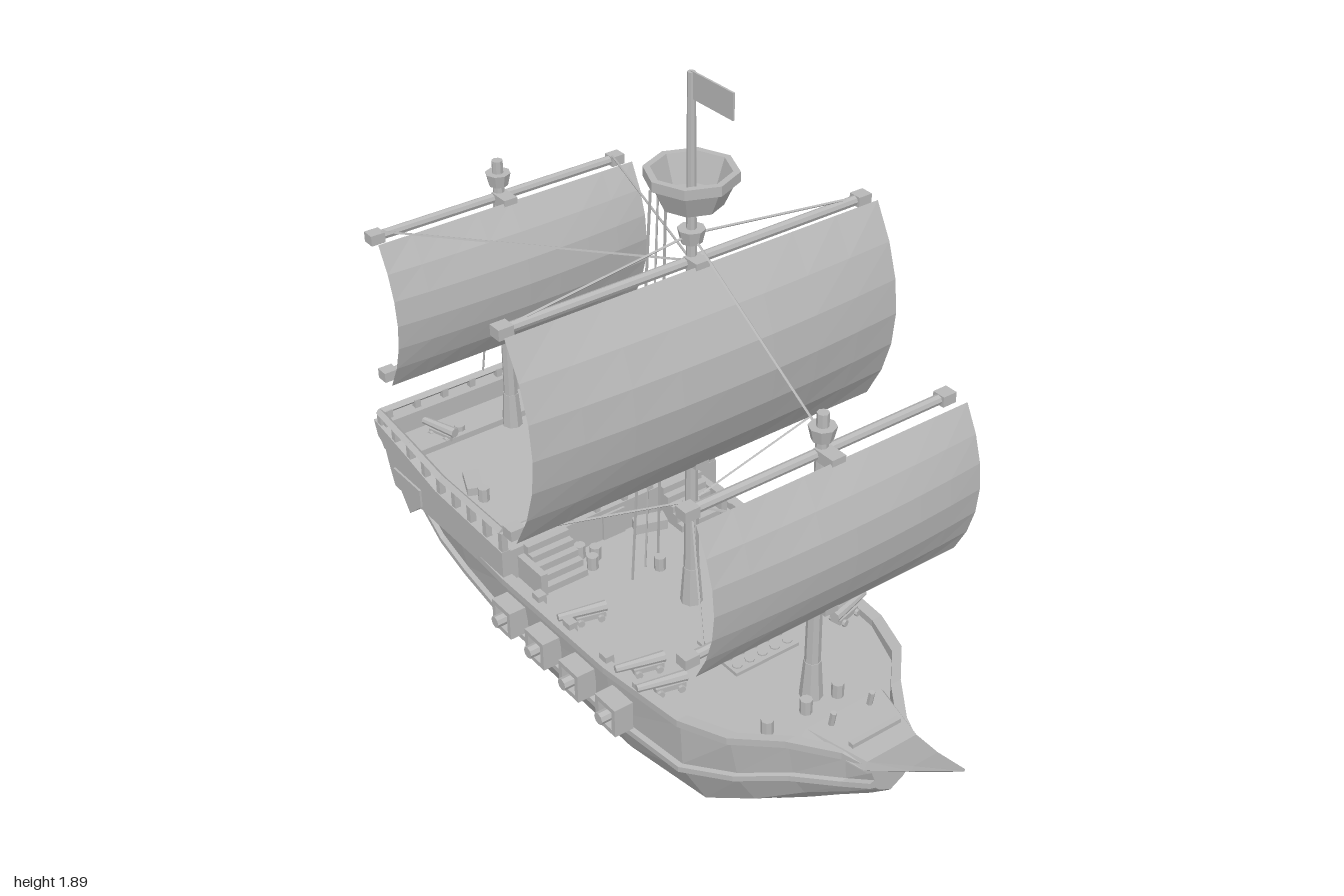
import * as THREE from 'three';

const grey = new THREE.MeshStandardMaterial({ color: 0xb8b8b8, side: THREE.DoubleSide });
grey.name = 'plain grey';

// adds a faceted mesh
function add(parent, name, geo, x = 0, y = 0, z = 0) {
  const g = geo.index ? geo.toNonIndexed() : geo;
  g.computeVertexNormals();
  const m = new THREE.Mesh(g, grey);
  m.name = name;
  m.position.set(x, y, z);
  parent.add(m);
  return m;
}
const box = (p, n, w, h, d, x, y, z) => add(p, n, new THREE.BoxGeometry(w, h, d), x, y, z);
const cyl = (p, n, rt, rb, y0, y1, x, z, s = 8) =>
  add(p, n, new THREE.CylinderGeometry(rt, rb, y1 - y0, s), x, (y0 + y1) / 2, z);

// straight bar between two points
function bar(p, name, a, b, r, sides = 4) {
  const A = new THREE.Vector3(...a), B = new THREE.Vector3(...b);
  const m = add(p, name, new THREE.CylinderGeometry(r, r, A.distanceTo(B), sides));
  m.position.copy(A).lerp(B, 0.5);
  m.quaternion.setFromUnitVectors(new THREE.Vector3(0, 1, 0), B.sub(A).normalize());
  return m;
}

// skin over closed rings of points, capped at both ends
function loft(rings) {
  const n = rings[0].length, idx = [];
  for (let i = 0; i < rings.length - 1; i++)
    for (let j = 0; j < n; j++) {
      const k = (j + 1) % n, a = i * n, b = a + n;
      idx.push(a + j, b + j, b + k, a + j, b + k, a + k);
    }
  const e = (rings.length - 1) * n;
  // caps join mirrored points across the centre line
  for (let j = 1; j < n / 2; j++) {
    const q = [j - 1 ? n - j + 1 : 0, j - 1, j, n - j];
    idx.push(q[0], q[1], q[2], q[0], q[2], q[3]);
    idx.push(e + q[0], e + q[2], e + q[1], e + q[0], e + q[3], e + q[2]);
  }
  const g = new THREE.BufferGeometry();
  g.setAttribute('position', new THREE.Float32BufferAttribute(rings.flat(2), 3));
  g.setIndex(idx);
  return g;
}
const ring = (half, z) => {
  const r = half.map(([x, y, dz = 0]) => [x, y, z + dz]);
  return [...r, ...r.slice(1).reverse().map(([x, y, w]) => [-x, y, w])];
};

// side profile of (z, y) points given a width in x
function slab(p, name, pts, x0, x1) {
  const g = new THREE.ExtrudeGeometry(new THREE.Shape(pts.map(q => new THREE.Vector2(...q))),
    { depth: x1 - x0, bevelEnabled: false });
  g.rotateY(-Math.PI / 2);
  return add(p, name, g, x1, 0, 0);
}

// deck gun pointing along its own +x
function cannon(p, x, y, z, turn) {
  const g = new THREE.Group();
  g.name = 'deckCannon';
  g.position.set(x, y, z);
  g.rotation.y = turn;
  p.add(g);
  const b = add(g, 'barrel', new THREE.CylinderGeometry(0.01, 0.015, 0.13, 8), 0.01, 0.032, 0);
  b.rotation.z = -Math.PI / 2;
  box(g, 'carriage', 0.08, 0.015, 0.03, -0.01, 0.016, 0);
  for (const wx of [-0.035, 0.02]) for (const wz of [-0.02, 0.02]) {
    const w = add(g, 'wheel', new THREE.CylinderGeometry(0.01, 0.01, 0.008, 8), wx, 0.01, wz);
    w.rotation.x = Math.PI / 2;
  }
}

// bellied sail with an upper and a lower yard
function sail(p, name, w, y0, y1, zMast, zEdge, depth) {
  const g = new THREE.PlaneGeometry(2 * w, y1 - y0, 8, 6), a = g.attributes.position;
  for (let i = 0; i < a.count; i++) {
    const u = a.getX(i) / w, v = a.getY(i) / ((y1 - y0) / 2);
    a.setZ(i, depth * (1 - v * v) * (1 - 0.22 * u * u));
  }
  add(p, name, g, 0, (y0 + y1) / 2, zEdge);
  for (const y of [y0 + 0.005, y1 - 0.005]) {
    bar(p, 'yard', [-w, y, zMast], [w, y, zMast], 0.013, 8);
    for (const s of [-1, 1]) box(p, 'yardEnd', 0.04, 0.028, 0.036, s * (w - 0.02), y, zMast);
    box(p, 'yardSling', 0.04, 0.03, zEdge - zMast + 0.01, 0, y, (zMast + zEdge) / 2);
  }
}

export function createModel() {
  const ship = new THREE.Group();
  ship.name = 'sailingShip';

  // hull: z, sheer half width, wale half width, keel y, wale y, sheer y, fullness
  const stations = [
    [0.775, 0.065, 0.05, 0.34, 0.385, 0.455, 0.8], [0.71, 0.09, 0.08, 0.28, 0.36, 0.465, 0.8],
    [0.6, 0.17, 0.15, 0.19, 0.335, 0.465, 0.8], [0.5, 0.265, 0.24, 0.105, 0.31, 0.455, 0.85],
    [0.37, 0.315, 0.305, 0, 0.28, 0.445, 0.85], [0.1, 0.34, 0.325, 0, 0.27, 0.44, 1],
    [-0.35, 0.345, 0.325, 0, 0.27, 0.44, 1], [-0.6, 0.335, 0.31, 0, 0.29, 0.44, 0.75],
    [-0.735, 0.325, 0.3, 0, 0.31, 0.44, 0.4], [-0.74, 0.325, 0.3, 0.11, 0.312, 0.44, 0.5],
    [-0.87, 0.315, 0.28, 0.325, 0.345, 0.44, 1]];
  add(ship, 'hull', loft(stations.map(([z, w, ww, yk, yw, ys, f]) => {
    const h = yw - yk, deck = Math.min(0.425, ys - 0.02);
    return ring([[0, yk], [0.2 * ww * f, yk + 0.13 * h], [0.5 * ww * f, yk + 0.28 * h],
      [0.84 * ww * Math.sqrt(f), yk + 0.5 * h], [ww, yw - 0.01], [ww + 0.017, yw - 0.004], [ww + 0.017, yw + 0.012],
      [ww + 0.004, yw + 0.016], [w, ys - 0.025], [w + 0.012, ys - 0.02], [w + 0.012, ys], [w - 0.02, ys], [w - 0.02, deck]], z);
  })));

  // pointed beak ahead of the bow
  const beak = [[0.6, 0.13, 0.42, 0.47], [0.77, 0.085, 0.40, 0.468], [0.88, 0.042, 0.475, 0.515], [1, 0.003, 0.567, 0.573]];
  add(ship, 'beak', loft(beak.map(([z, w, a, b]) => ring([[0, a], [w, (a + 2 * b) / 3], [w * 0.9, b], [0, b + 0.004]].slice(0, 3), z))));
  box(ship, 'bowBeam', 0.15, 0.012, 0.015, 0, 0.475, 0.71);
  for (const s of [-1, 1]) bar(ship, 'bowPost', [s * 0.06, 0.45, 0.62], [s * 0.06, 0.51, 0.63], 0.008, 6);

  // sterncastle body, stepped transom bands and raised sides
  slab(ship, 'sterncastle', [[-0.35, 0.42], [-0.35, 0.515], [-0.97, 0.53], [-0.95, 0.5], [-0.93, 0.47], [-0.915, 0.4],
    [-0.87, 0.34], [-0.8, 0.4]], -0.335, 0.335);
  slab(ship, 'transomBand', [[-0.85, 0.445], [-0.92, 0.445], [-0.93, 0.47], [-0.85, 0.47]], -0.347, 0.347);
  slab(ship, 'transomBand', [[-0.85, 0.515], [-0.965, 0.515], [-0.985, 0.545], [-0.85, 0.545]], -0.347, 0.347);
  slab(ship, 'sternWall', [[-0.955, 0.52], [-0.955, 0.6], [-1, 0.6], [-0.98, 0.545], [-0.97, 0.52]], -0.34, 0.34);
  const railTop = z => z > -0.66 ? 0.578 : z > -0.82 ? 0.578 + (-0.66 - z) * 0.15 : 0.602 + (-0.82 - z) * 0.13;
  for (const s of [-1, 1]) {
    const a = Math.min(s * 0.325, s * 0.352), b = Math.max(s * 0.325, s * 0.352);
    slab(ship, 'sternSide', [[-0.35, 0.42], [-0.35, 0.52], [-0.68, 0.53], [-0.84, 0.565], [-1, 0.595], [-0.985, 0.55],
      [-0.95, 0.53], [-0.93, 0.47], [-0.91, 0.42]], a, b);
    box(ship, 'quarterPanel', 0.008, 0.055, 0.14, s * 0.354, 0.46, -0.83);
    // railing
    const stops = [-0.36, -0.51, -0.66, -0.82, -0.985];
    for (let i = 0; i < 4; i++)
      bar(ship, 'rail', [s * 0.34, railTop(stops[i]), stops[i]], [s * 0.34, railTop(stops[i + 1]), stops[i + 1]], 0.012);
    for (let i = 0; i < 9; i++) {
      const z = -0.36 - i * 0.077;
      box(ship, 'railPost', 0.018, 0.06, 0.018, s * 0.34, railTop(z) - 0.03, z);
    }
    // stairs to the upper deck
    for (let i = 0; i < 5; i++)
      box(ship, 'stair', 0.13, 0.02 * (5 - i), 0.021, s * 0.22, 0.42 + 0.01 * (5 - i), -0.34 + i * 0.021);
    box(ship, 'stairSide', 0.02, 0.07, 0.12, s * 0.295, 0.455, -0.3);
    // gun ports with frames and muzzles
    for (const z of [0.16, 0, -0.155, -0.31]) {
      for (const d of [-1, 1]) {
        box(ship, 'portFrame', 0.055, 0.014, 0.084, s * 0.362, 0.345 + d * 0.035, z);
        box(ship, 'portFrame', 0.055, 0.056, 0.014, s * 0.362, 0.345, z + d * 0.035);
      }
      bar(ship, 'portGun', [s * 0.32, 0.345, z], [s * 0.41, 0.345, z], 0.017, 8);
    }
    // bulwark blocks
    for (const z of [0.22, 0.08, -0.08, -0.22]) box(ship, 'bulwarkPost', 0.025, 0.035, 0.03, s * 0.325, 0.44, z);
  }
  bar(ship, 'sternRail', [-0.34, 0.622, -0.985], [0.34, 0.622, -0.985], 0.012);
  for (let i = 0; i < 8; i++) box(ship, 'railPost', 0.018, 0.05, 0.018, -0.315 + i * 0.09, 0.6, -0.98);
  box(ship, 'deckRail', 0.28, 0.012, 0.015, 0, 0.575, -0.36);
  for (const x of [-0.13, -0.045, 0.045, 0.13]) box(ship, 'railPost', 0.015, 0.06, 0.015, x, 0.545, -0.36);
  box(ship, 'cabinDoor', 0.07, 0.08, 0.008, 0, 0.462, -0.347);

  // masts: z, foot y, collar y, top y
  for (const [z, y0, yc, y1] of [[0.48, 0.43, 1.2, 1.25], [0, 0.42, 1.49, 1.89], [-0.84, 0.52, 1.3, 1.35]]) {
    cyl(ship, 'mastFoot', 0.022, 0.03, y0, y0 + 0.11, 0, z);
    cyl(ship, 'lowerMast', 0.019, 0.021, y0, y0 + 0.28, 0, z);
    cyl(ship, 'upperMast', z ? 0.015 : 0.01, 0.017, y0 + 0.28, y1, 0, z);
    cyl(ship, 'mastCollar', 0.034, 0.026, yc - 0.02, yc + 0.015, 0, z);
    cyl(ship, 'mastRing', 0.024, 0.024, y0 + 0.3, y0 + 0.315, 0, z);
  }

  // lookout basket and flag
  const nest = [[0, 1.57], [0.075, 1.57], [0.1, 1.625], [0.112, 1.63], [0.112, 1.655], [0.095, 1.655], [0.07, 1.585], [0, 1.585]];
  add(ship, 'lookoutBasket', new THREE.LatheGeometry(nest.map(q => new THREE.Vector2(...q)), 8));
  box(ship, 'flag', 0.005, 0.065, 0.15, 0, 1.86, 0.075);

  sail(ship, 'mainSail', 0.54, 0.87, 1.425, 0, 0.04, 0.115);
  sail(ship, 'foreSail', 0.395, 0.73, 1.15, 0.48, 0.535, 0.083);
  sail(ship, 'rearSail', 0.395, 0.83, 1.25, -0.84, -0.787, 0.082);

  // rigging
  const ropes = [[[0, 1.19, 0.48], [0, 1.49, 0]], [[0, 1.3, -0.85], [0, 0.61, -0.99]]];
  for (const s of [-1, 1]) ropes.push(
    [[0, 1.42, 0], [s * 0.36, 1.26, -0.83]], [[s * 0.33, 0.735, 0.48], [0, 0.72, 0]],
    [[s * 0.52, 1.425, 0], [0, 1.49, 0]], [[s * 0.52, 0.87, 0], [s * 0.02, 0.74, 0]]);
  for (let i = 0; i < 3; i++)
    ropes.push([[-0.05 + i * 0.03, 1.58, -0.09 - i * 0.01], [-0.08 + i * 0.06, 0.43, -0.15 - i * 0.025]]);
  for (const [a, b] of ropes) bar(ship, 'rope', a, b, 0.0035);

  // hatch grating
  box(ship, 'hatch', 0.2, 0.01, 0.16, 0, 0.43, 0.235);
  for (let i = 0; i < 5; i++) for (let j = 0; j < 4; j++)
    cyl(ship, 'hatchStud', 0.013, 0.013, 0.43, 0.439, -0.08 + i * 0.04, 0.178 + j * 0.038);

  // round well on the upper deck
  const well = [[0.055, 0.52], [0.055, 0.545], [0.078, 0.545], [0.078, 0.515]];
  add(ship, 'well', new THREE.LatheGeometry(well.map(q => new THREE.Vector2(...q)), 16), 0, 0, -0.48);

  // deck guns
  for (const [x, z] of [[-0.27, -0.09], [-0.27, 0.16], [-0.27, 0.25], [0.26, -0.09], [0.24, 0.16], [0.27, 0.3]])
    cannon(ship, x, 0.425, z, x > 0 ? 0.25 : Math.PI - 0.25);
  for (const x of [-0.2, 0.21]) cannon(ship, x, 0.53, -0.9, Math.PI / 2 + Math.sign(x) * -0.3);

  // crates and barrels
  for (const [x, y, z, t] of [[-0.25, 0.53, -0.65, 0.4], [0.12, 0.53, -0.41, 1.4], [0.1, 0.435, -0.32, 1.9]])
    box(ship, 'crate', 0.045, 0.03, 0.09, x, y, z).rotation.y = -t;
  for (const [x, y, z] of [[-0.26, 0.52, -0.58], [-0.14, 0.52, -0.4], [-0.09, 0.52, -0.4], [-0.15, 0.52, -0.88], [0.28, 0.52, -0.88],
    [-0.13, 0.425, -0.32], [-0.1, 0.425, -0.29], [-0.13, 0.425, -0.26], [-0.17, 0.43, 0.52], [0.05, 0.43, 0.52], [-0.05, 0.43, 0.52], [0.01, 0.425, -0.15]])
    cyl(ship, 'barrel', 0.016, 0.016, y, y + 0.04, x, z);

  return ship;
}
